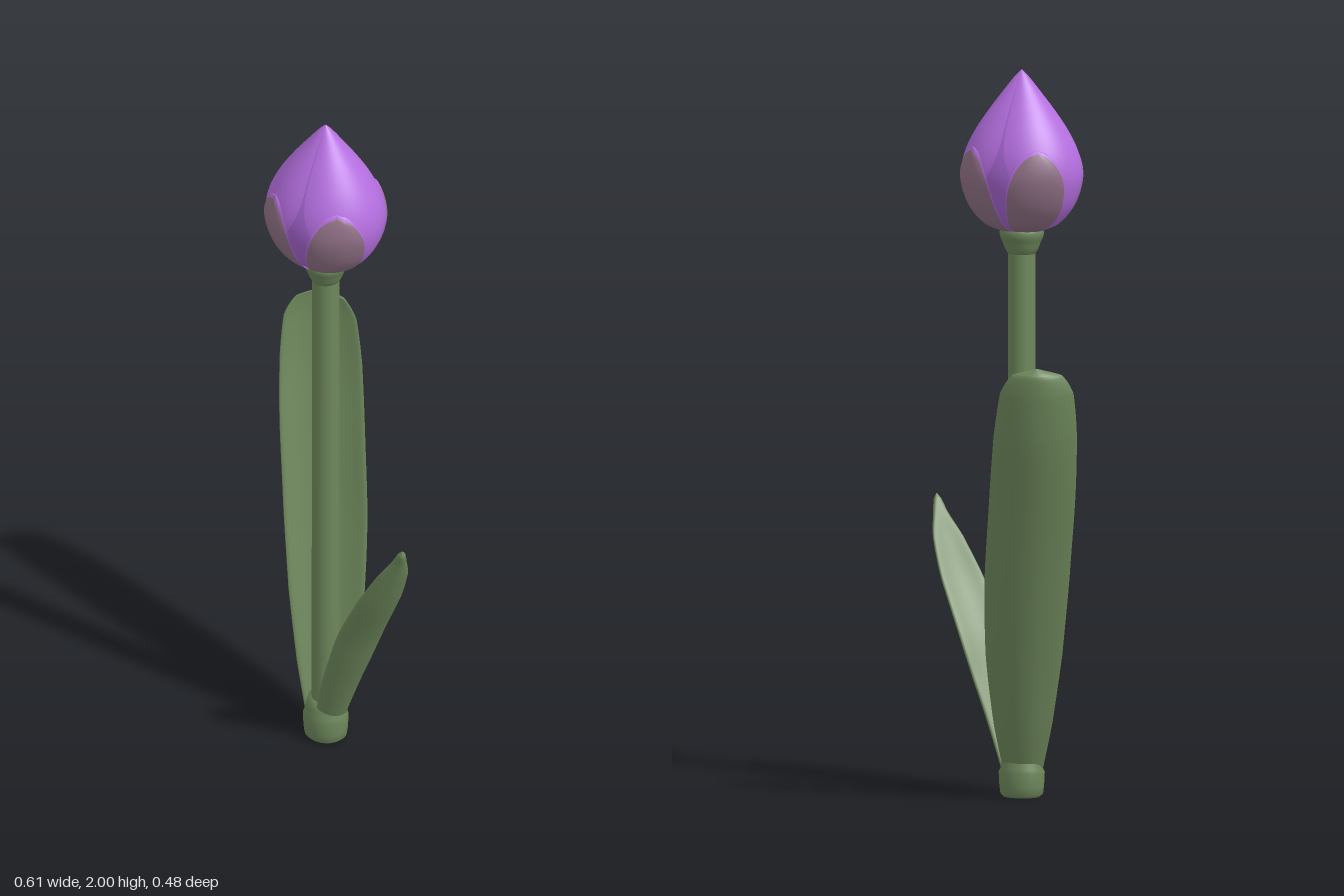
import * as THREE from 'three';
import { mergeVertices } from 'three/addons/utils/BufferGeometryUtils.js';

const AXIS_X = -0.033, AXIS_Z = 0.088;

// Smooth grid surface: place(u, v) gives a point; u runs right, v runs up, seen from outside
function surface(cols, rows, place) {
  const g = new THREE.PlaneGeometry(1, 1, cols, rows);
  const p = g.attributes.position, uv = g.attributes.uv;
  for (let i = 0; i < p.count; i++) {
    const q = place(uv.getX(i), uv.getY(i));
    p.setXYZ(i, q.x, q.y, q.z);
  }
  g.deleteAttribute('uv');
  g.deleteAttribute('normal');
  const m = mergeVertices(g, 1e-5);
  m.computeVertexNormals();
  return m;
}

// Leaf blade: stations are [x, y, z, width, thickness], side is the direction across the blade
function leafGeometry(stations, side, cup) {
  const path = new THREE.CatmullRomCurve3(stations.map(s => new THREE.Vector3(s[0], s[1], s[2])));
  const size = new THREE.CatmullRomCurve3(stations.map(s => new THREE.Vector3(s[3], s[4], 0)));
  const across = new THREE.Vector3(...side).normalize();
  return surface(28, 48, (u, v) => {
    const c = path.getPoint(v), s = size.getPoint(v);
    const inward = across.clone().cross(path.getTangent(v)).normalize();
    const a = -u * Math.PI * 2, k = Math.cos(a);
    return c.addScaledVector(across, k * s.x / 2)
      .addScaledVector(inward, Math.sin(a) * s.y / 2 + cup * s.x * (k * k - 0.4));
  });
}

export function createModel() {
  const model = new THREE.Group();
  const mat = (name, color, side = THREE.FrontSide) => {
    const m = new THREE.MeshStandardMaterial({ color, side });
    m.name = name;
    return m;
  };
  const green = mat('leaf green', 0x6d875b);
  const purple = mat('petal purple', 0xb56fe0, THREE.DoubleSide);
  const deepPurple = mat('inner purple', 0xa263cc);
  const mauve = mat('sepal mauve', 0x8f7085, THREE.DoubleSide);
  const add = (parent, name, geometry, material) => {
    const m = new THREE.Mesh(geometry, material);
    m.name = name;
    parent.add(m);
    return m;
  };
  const spline = pts => new THREE.SplineCurve(pts.map(p => new THREE.Vector2(...p)));

  // Stalk: foot, stem and collar share one axis
  const stalk = new THREE.Group();
  stalk.name = 'stalk';
  stalk.position.set(AXIS_X, 0, AXIS_Z);
  model.add(stalk);
  const stem = add(stalk, 'stem', new THREE.CylinderGeometry(0.037, 0.039, 1.5, 28), green);
  stem.position.y = 0.8;
  const foot = [[0, 0], [0.05, 0], [0.059, 0.008], [0.062, 0.03], [0.064, 0.068], [0.059, 0.078],
    [0.056, 0.1], [0.048, 0.125], [0.03, 0.13]];
  add(stalk, 'foot', new THREE.LatheGeometry(foot.map(p => new THREE.Vector2(...p)), 32), green)
    .scale.z = 0.92;
  const collar = spline([[0.034, 1.49], [0.044, 1.505], [0.052, 1.525], [0.06, 1.545], [0.058, 1.562],
    [0.045, 1.572], [0.02, 1.575]]);
  add(stalk, 'collar', new THREE.LatheGeometry(collar.getPoints(24), 32), green);

  // Leaves
  add(model, 'tallLeaf', leafGeometry([
    [-0.04, 0.05, 0.08, 0.1, 0.03], [-0.062, 0.2, 0.035, 0.16, 0.038],
    [-0.092, 0.4, -0.02, 0.21, 0.04], [-0.13, 0.62, -0.078, 0.232, 0.04],
    [-0.172, 0.84, -0.132, 0.235, 0.04], [-0.203, 1.02, -0.176, 0.228, 0.038],
    [-0.22, 1.15, -0.2, 0.2, 0.032], [-0.225, 1.205, -0.208, 0.135, 0.026],
    [-0.225, 1.226, -0.21, 0.002, 0.002],
  ], [0.92, 0, -0.4], 0.19), green);
  add(model, 'shortLeaf', leafGeometry([
    [-0.02, 0.04, 0.092, 0.08, 0.03], [0.036, 0.2, 0.122, 0.11, 0.035], [0.08, 0.31, 0.14, 0.125, 0.035],
    [0.125, 0.42, 0.157, 0.133, 0.035], [0.2, 0.57, 0.188, 0.124, 0.032],
    [0.252, 0.68, 0.206, 0.088, 0.028], [0.28, 0.745, 0.219, 0.042, 0.024],
    [0.293, 0.78, 0.229, 0.022, 0.02], [0.297, 0.796, 0.232, 0.002, 0.002],
  ], [-0.68, 0, 0.73], 0.15), green);

  // Bud: a core wrapped by two large petals and four short sepals
  const bud = new THREE.Group();
  bud.name = 'bud';
  bud.position.set(AXIS_X, 0, AXIS_Z);
  bud.scale.z = 0.89;
  model.add(bud);
  const profile = spline([[0.045, 1.555], [0.1, 1.578], [0.143, 1.63], [0.165, 1.7], [0.16, 1.76],
    [0.135, 1.82], [0.097, 1.88], [0.052, 1.94], [0.019, 1.982], [0.001, 2]]);
  const core = profile.getPoints(40).map(p => new THREE.Vector2(p.x * 0.945, p.y - 0.002));
  add(bud, 'budCore', new THREE.LatheGeometry(core, 48), deepPurple);

  // Petal patch lying on the bud between two heights, with its edges tucked in
  const petal = (centre, t0, t1, lift, tuck, halfWidth) => surface(24, 30, (u, v) => {
    const p = profile.getPoint(t0 + (t1 - t0) * v), s = u * 2 - 1;
    const a = centre + s * halfWidth(v), r = p.x * (lift - tuck * s ** 4);
    return new THREE.Vector3(Math.sin(a) * r, p.y, Math.cos(a) * r);
  });
  const petalWidth = v => 0.45 + 1.1 * Math.sin(Math.min(1, 1.7 * v) * Math.PI / 2);
  add(bud, 'rightPetal', petal(-Math.PI / 2, 0.02, 1, 1.02, 0.06, petalWidth), purple);
  add(bud, 'leftPetal', petal(Math.PI / 2, 0.02, 1, 1.015, 0.05, petalWidth), purple);

  // Sepals: a mauve face over a slightly larger purple lining
  const tilt = 0.69;
  const sepalWidth = w => v => w * Math.sqrt(Math.max(0, 1 - v ** 2.4));
  [tilt, -tilt, Math.PI - tilt, Math.PI + tilt].forEach((angle, i) => {
    add(bud, 'sepal' + (i + 1), petal(angle, 0, 0.495, 1.05, 0.025, sepalWidth(0.62)), mauve);
    add(bud, 'sepalLining' + (i + 1), petal(angle, 0, 0.51, 1.04, 0.025, sepalWidth(0.64)), purple);
  });

  return model;
}
